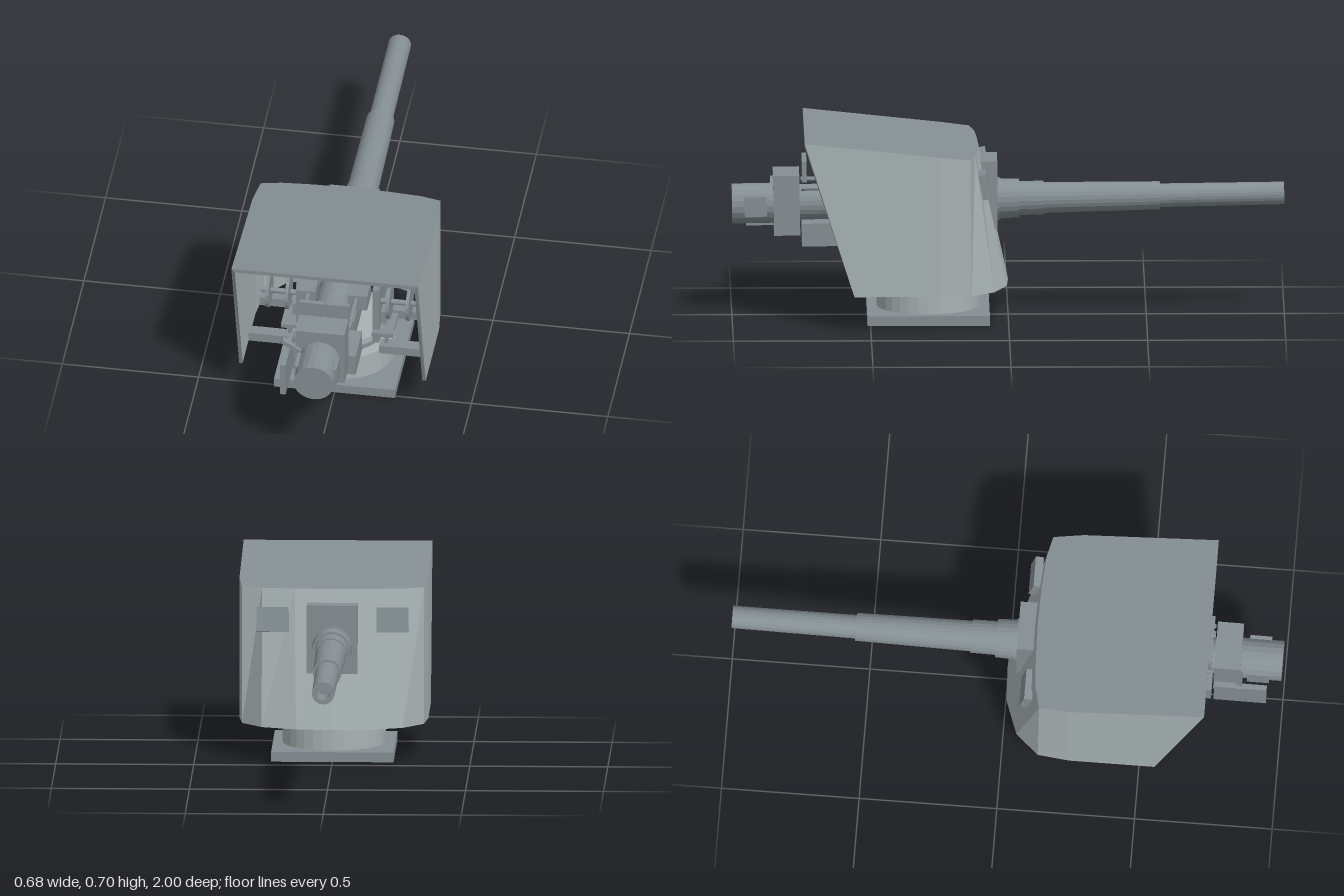
import * as THREE from 'three';

const paint = color => new THREE.MeshStandardMaterial({ color, flatShading: true });
const dark = paint(0x858f94);
const light = paint(0xa9b3b4);
const glass = paint(0x5d8085);

function add(parent, name, geometry, x = 0, y = 0, z = 0, material = dark) {
  const mesh = new THREE.Mesh(geometry, material);
  mesh.name = name;
  mesh.position.set(x, y, z);
  parent.add(mesh);
  return mesh;
}

// Box given by its limits on each axis
function box(parent, name, x0, x1, y0, y1, z0, z1) {
  return add(parent, name, new THREE.BoxGeometry(x1 - x0, y1 - y0, z1 - z0),
    (x0 + x1) / 2, (y0 + y1) / 2, (z0 + z1) / 2);
}

// Upright cylinder between two heights
function drum(parent, name, r, y0, y1, z, material) {
  return add(parent, name, new THREE.CylinderGeometry(r, r, y1 - y0, 32), 0, (y0 + y1) / 2, z, material);
}

// Cylinder lying along x
function axle(parent, name, r, x0, x1, y, z) {
  const mesh = add(parent, name, new THREE.CylinderGeometry(r, r, Math.abs(x1 - x0), 20), (x0 + x1) / 2, y, z);
  mesh.rotation.z = Math.PI / 2;
  return mesh;
}

// Geometry from a list of four-cornered faces
function quads(faces) {
  const geometry = new THREE.BufferGeometry();
  const pos = faces.flatMap(([p, q, r, s]) => [...p, ...q, ...r, ...p, ...r, ...s]);
  geometry.setAttribute('position', new THREE.Float32BufferAttribute(pos, 3));
  geometry.computeVertexNormals();
  return geometry;
}

// Shield: open-backed shell lofted between a bottom and a roof outline
function buildShield() {
  const bottom = [[0.342, 0.56], [0.342, 0.25], [0.329, 0.135], [0.256, 0.052], [0.13, 0.006], [0, 0]];
  const top = [[0.342, 0.74], [0.342, 0.25], [0.33, 0.14], [0.256, 0.122], [0.138, 0.113], [0, 0.11]];
  const roofY = z => 0.63 + (z - 0.12) * 0.105;
  const mirror = half => [...half, ...half.slice(0, -1).reverse().map(([x, z]) => [-x, z])];
  const inset = half => half.map(([x, z], i) => [x * 0.963, i ? z + 0.013 : z]);
  const ring = (half, y) => mirror(half).map(([x, z]) => [x, y(z), z]);
  const b = ring(bottom, () => 0.13), t = ring(top, roofY);
  const bi = ring(inset(bottom), () => 0.13), ti = ring(inset(top), z => roofY(z) - 0.015);
  const walls = [], roof = [], e = b.length - 1;
  for (let i = 0; i < e; i++) {
    walls.push([b[i], b[i + 1], t[i + 1], t[i]], [bi[i + 1], bi[i], ti[i], ti[i + 1]]);
    roof.push([b[i + 1], b[i], bi[i], bi[i + 1]]);
  }
  // Roof strips join each point to its mirrored partner
  for (let i = 0; i < e / 2; i++) {
    const j = e - i;
    roof.push([t[i], t[i + 1], t[j - 1], t[j]], [ti[i + 1], ti[i], ti[j], ti[j - 1]]);
  }
  // Rear rim
  roof.push([b[0], t[0], ti[0], bi[0]], [t[e], b[e], bi[e], ti[e]], [t[0], t[e], ti[e], ti[0]]);

  const shield = new THREE.Group();
  shield.name = 'shield';
  add(shield, 'shieldWalls', quads(walls), 0, 0, 0, light);
  add(shield, 'shieldRoofAndRim', quads(roof));
  return shield;
}

function buildGun() {
  const gun = new THREE.Group();
  gun.name = 'gun';
  gun.position.y = 0.4275;
  gun.rotation.x = 0.0175;

  // Stepped barrel with a hollow muzzle; profile is [radius, distance forward]
  const profile = [[0, -0.76], [0.066, -0.76], [0.066, -0.1], [0.078, -0.1], [0.078, -0.03], [0.073, -0.03],
    [0.07, 0.04], [0.062, 0.04], [0.061, 0.13], [0.056, 0.13], [0.051, 0.55], [0.043, 0.55], [0.041, 1],
    [0.025, 1], [0.025, 0.88], [0, 0.88]];
  const barrel = add(gun, 'barrel', new THREE.LatheGeometry(profile.map(p => new THREE.Vector2(...p)), 24));
  barrel.rotation.x = -Math.PI / 2;

  // Breech
  const breech = add(gun, 'breechCylinder', new THREE.CylinderGeometry(0.073, 0.073, 0.2, 20), 0, 0, 0.9);
  breech.rotation.x = Math.PI / 2;
  box(gun, 'breechBlock', -0.09, 0.09, -0.105, 0.115, 0.755, 0.85);
  box(gun, 'breechWedge', -0.077, 0.077, -0.036, 0.036, 0.875, 0.955);
  box(gun, 'loaderGuard', -0.13, -0.11, -0.104, 0.03, 0.76, 0.95);
  const lever = box(gun, 'breechLever', -0.145, -0.065, 0.038, 0.054, 0.84, 0.86);
  lever.rotation.z = -0.53;

  // Cradle and recoil gear
  box(gun, 'cradle', -0.115, 0.115, -0.142, -0.058, 0.6, 0.75);
  box(gun, 'cradleSlide', -0.085, 0.085, -0.11, -0.02, 0.15, 0.6);
  for (const s of [-1, 1]) {
    const plate = box(gun, 'rearPlate', -0.045, 0.045, 0.09, 0.165, 0.728, 0.745);
    plate.position.x = s * 0.0465;
    const rod = add(gun, 'recoilRod', new THREE.CylinderGeometry(0.009, 0.009, 0.3, 10), s * 0.088, 0.068, 0.6);
    rod.rotation.x = Math.PI / 2;
  }
  return gun;
}

export function createModel() {
  const model = new THREE.Group();
  model.name = 'deckGun';

  // Pedestal
  box(model, 'basePlate', -0.222, 0.222, 0, 0.036, 0.068, 0.512);
  drum(model, 'pedestal', 0.187, 0.036, 0.13, 0.29, light);
  drum(model, 'pedestalNeck', 0.147, 0.13, 0.165, 0.29, dark);
  drum(model, 'turntable', 0.165, 0.165, 0.19, 0.29, light);

  // Shield with mantlet
  model.add(buildShield());
  box(model, 'mantlet', -0.092, 0.092, 0.33, 0.58, 0.04, 0.11);

  // Carriage, mirrored on both sides
  for (const s of [-1, 1]) {
    const side = new THREE.Group();
    side.name = s > 0 ? 'leftCarriage' : 'rightCarriage';
    const sideBox = (name, x0, x1, ...rest) =>
      box(side, name, Math.min(s * x0, s * x1), Math.max(s * x0, s * x1), ...rest);
    sideBox('cheek', 0.127, 0.152, 0.19, 0.425, 0.2, 0.44);
    sideBox('cheekFoot', 0.152, 0.172, 0.19, 0.3, 0.24, 0.4);
    sideBox('footStep', 0.128, 0.205, 0.232, 0.248, 0.33, 0.46);
    sideBox('stepBracket', 0.172, 0.182, 0.19, 0.232, 0.34, 0.44);
    sideBox('trunnionCap', 0.1, 0.163, 0.425, 0.465, 0.24, 0.4);
    sideBox('sightBracket', 0.06, 0.13, 0.44, 0.502, 0.48, 0.58);
    axle(side, 'trunnion', 0.045, s * 0.06, s * 0.165, 0.415, 0.32);
    axle(side, 'handwheelShaft', 0.01, s * 0.14, s * 0.285, 0.353, 0.4);
    for (const x of [0.185, 0.257]) {
      axle(side, 'handwheel', 0.064, s * (x - 0.006), s * (x + 0.006), 0.353, 0.4);
    }
    // Struts carrying the shield
    sideBox('frontStrut', 0.15, 0.326, 0.131, 0.165, 0.165, 0.21);
    sideBox('rearStrut', 0.15, 0.332, 0.131, 0.165, 0.38, 0.425);
    // Sight port cover, leaning with the shield face
    const cover = sideBox('portCover', 0.16, 0.275, 0.475, 0.565, 0.072, 0.102);
    cover.rotation.x = 0.2;
    model.add(side);
  }

  // Sight glass on the left side
  const pane = new THREE.Shape([[0.16, 0.46], [0.222, 0.458], [0.208, 0.48], [0.162, 0.495]]
    .map(p => new THREE.Vector2(...p)));
  add(model, 'sightGlass', new THREE.ExtrudeGeometry(pane, { depth: 0.01, bevelEnabled: false }), 0, 0, 0.16, glass);

  model.add(buildGun());
  return model;
}
